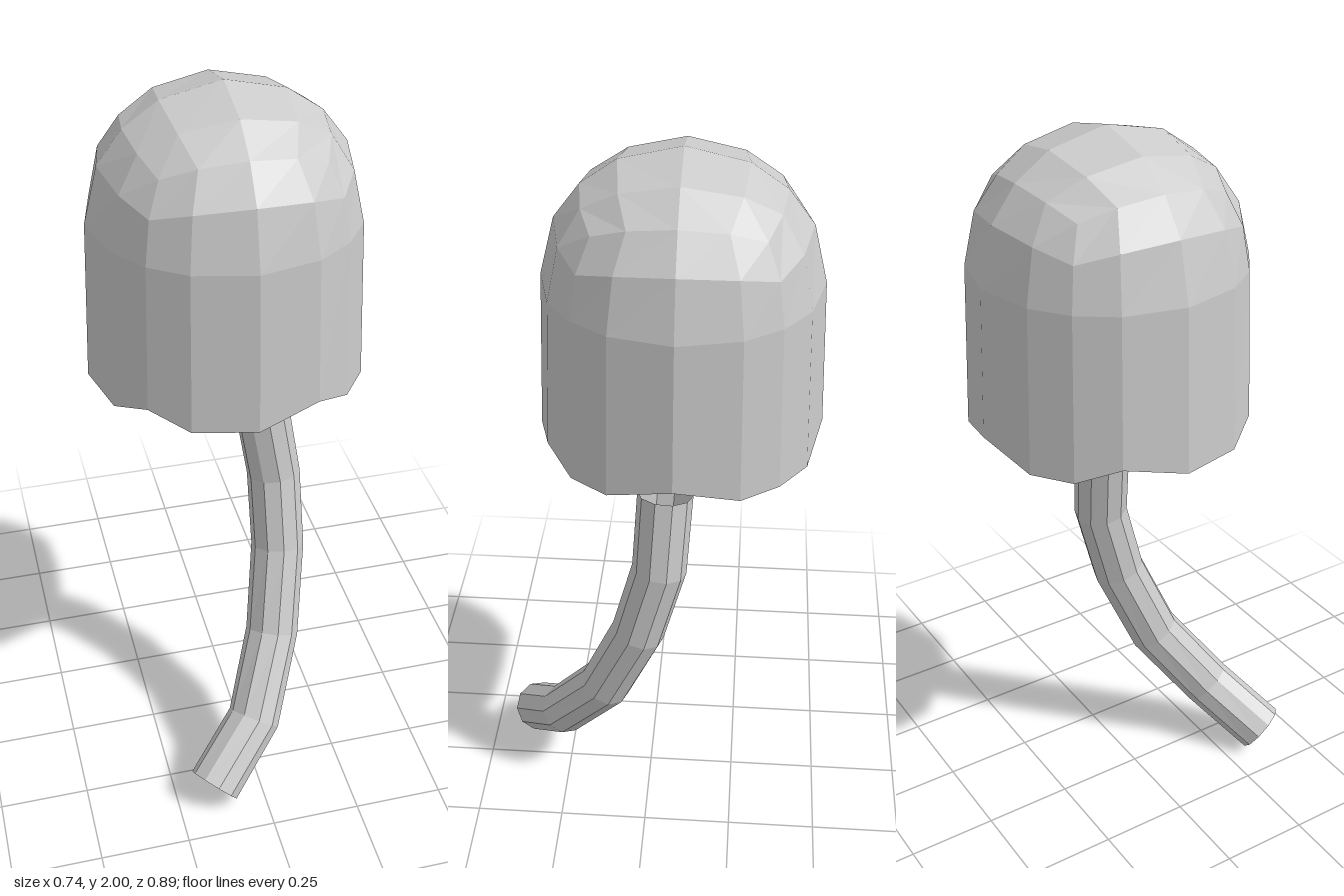
import * as THREE from 'three';

const material = new THREE.MeshStandardMaterial({ color: 0xcccccc, flatShading: true, side: THREE.DoubleSide });
const V = (x, y, z) => new THREE.Vector3(x, y, z);

// Join neighbouring rings of points with quads
function loft(rings, closed = true) {
  const n = rings[0].length, pts = [];
  for (let i = 0; i < rings.length - 1; i++) {
    for (let j = 0; j < (closed ? n : n - 1); j++) {
      const k = (j + 1) % n;
      const a = rings[i][j], b = rings[i][k], c = rings[i + 1][k], d = rings[i + 1][j];
      pts.push(a, b, c, a, c, d);
    }
  }
  return fromTriangles(pts);
}

function fromTriangles(pts) {
  const g = new THREE.BufferGeometry().setFromPoints(pts);
  g.computeVertexNormals();
  return g;
}

function addMesh(group, name, geometry) {
  const m = new THREE.Mesh(geometry, material);
  m.name = name;
  group.add(m);
}

// Half of a box pushed out onto a sphere, without its floor
function domeGeometry() {
  const box = new THREE.BoxGeometry(2, 1, 2, 4, 2, 4).translate(0, 0.5, 0).toNonIndexed();
  const pos = box.attributes.position, pts = [];
  for (let i = 0; i < pos.count; i += 3) {
    const tri = [0, 1, 2].map((j) => V().fromBufferAttribute(pos, i + j));
    if (tri.every((p) => p.y < 1e-4)) continue;
    tri.forEach((p) => pts.push(p.normalize().multiply(V(0.355, 0.34, 0.355))));
  }
  return fromTriangles(pts);
}

// Ring of 16 points that lines up with the dome's lower edge
function skirtRing(radius, height) {
  const steps = [0, Math.atan(0.5), Math.PI / 4, Math.atan(2)];
  return Array.from({ length: 16 }, (_, k) => {
    const a = Math.floor(k / 4) * Math.PI / 2 + steps[k % 4];
    return V(Math.sin(a) * radius, height(k), Math.cos(a) * radius);
  });
}

// Ring square to a direction; angle 0 points to +x
function tubeRing(center, dir, radius, sides) {
  const t = dir.clone().normalize();
  const u = V(1, 0, 0).addScaledVector(t, -t.x).normalize();
  const v = t.clone().cross(u);
  return Array.from({ length: sides }, (_, j) => {
    const a = (j / sides) * Math.PI * 2 + Math.PI / 2;
    return center.clone().addScaledVector(u, Math.cos(a) * radius).addScaledVector(v, Math.sin(a) * radius);
  });
}

export function createModel() {
  const model = new THREE.Group();
  model.name = 'bellFlower';

  // Bell: rounded dome and flared skirt with an uneven hem
  const bell = new THREE.Group();
  bell.name = 'bell';
  bell.position.set(0, 1.66, -0.08);
  addMesh(bell, 'dome', domeGeometry());
  const raised = [1, 4, 8, 11, 14];
  const hem = skirtRing(0.37, (k) => (raised.includes(k) ? -0.395 : -0.435));
  addMesh(bell, 'skirt', loft([hem, skirtRing(0.355, () => 0)]));
  model.add(bell);

  // Stem: bent tube, capped at the foot
  const sides = 10, r = 0.075;
  const path = [
    V(-0.145, 0.058, 0.372), V(0, 0.19, 0.265), V(0.09, 0.39, 0.125),
    V(0.13, 0.63, 0.025), V(0.13, 0.85, -0.033), V(0.095, 1.075, -0.046),
  ];
  const last = path.length - 1;
  const rings = path.map((p, i) => {
    const dir = path[Math.min(i + 1, last)].clone().sub(path[Math.max(i - 1, 0)]);
    return tubeRing(p, dir, r, sides);
  });
  addMesh(model, 'stem', loft(rings));
  const cap = [];
  rings[0].forEach((p, j) => cap.push(path[0], rings[0][(j + 1) % sides], p));
  addMesh(model, 'stemFoot', fromTriangles(cap));

  // Split tip: half of the tube wall carried on upward
  const half = rings[last].slice(0, sides / 2 + 1);
  const tip = tubeRing(V(0.062, 1.15, -0.05), V(-0.25, 1, 0), 0.072, sides).slice(0, sides / 2 + 1);
  addMesh(model, 'stemTip', loft([half, tip], false));

  return model;
}
